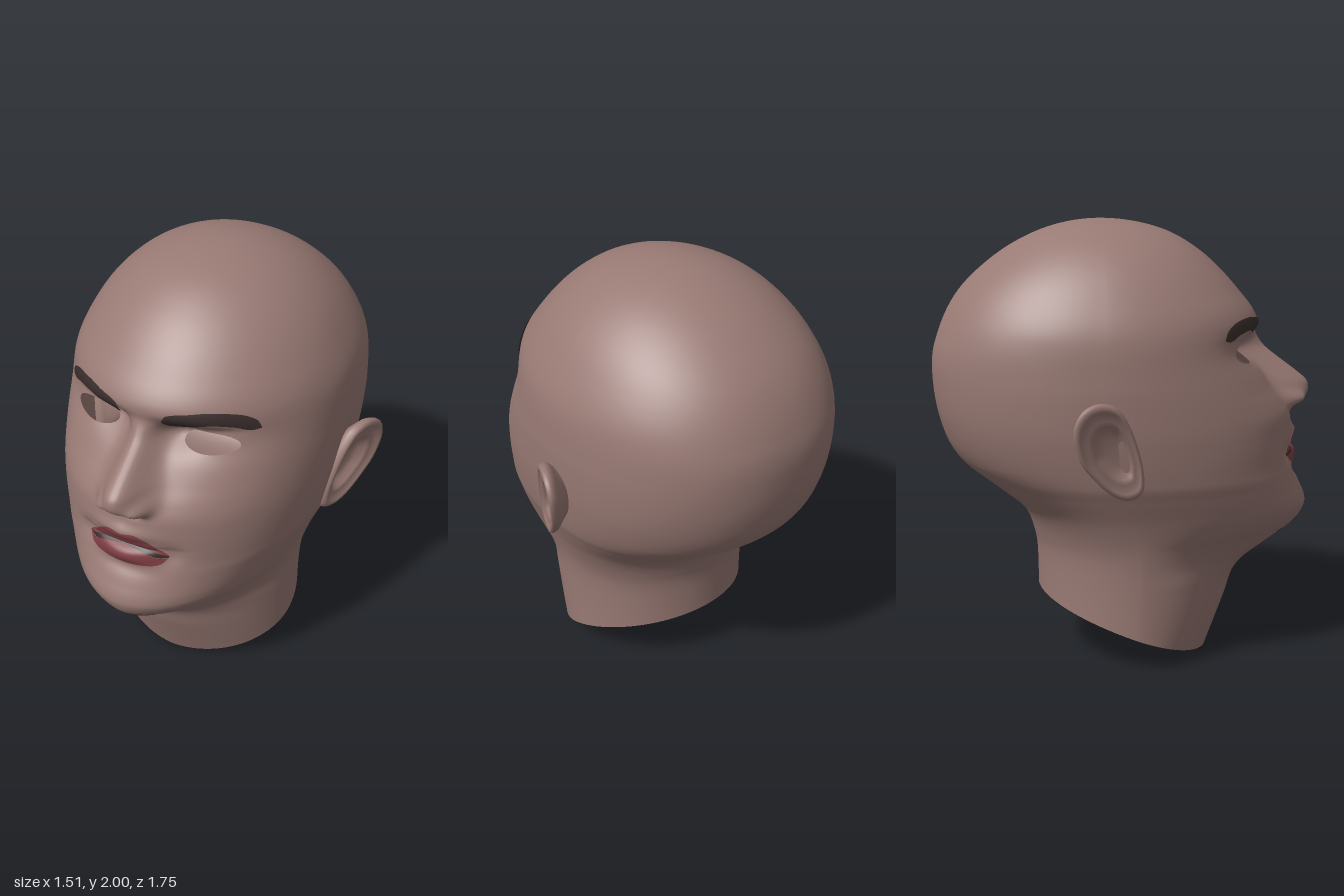
import * as THREE from 'three';

// Smooth curve through [key, value] pairs with rising keys
function interp(pts) {
  const slope = (a, b) => (b[1] - a[1]) / (b[0] - a[0]);
  const m = pts.map((p, i) => slope(pts[Math.max(0, i - 1)], pts[Math.min(pts.length - 1, i + 1)]));
  return (k) => {
    k = Math.min(Math.max(k, pts[0][0]), pts[pts.length - 1][0]);
    let i = 0;
    while (i < pts.length - 2 && k > pts[i + 1][0]) i++;
    const h = pts[i + 1][0] - pts[i][0], t = (k - pts[i][0]) / h, t2 = t * t, t3 = t2 * t;
    return (2 * t3 - 3 * t2 + 1) * pts[i][1] + (t3 - 2 * t2 + t) * h * m[i]
      + (3 * t2 - 2 * t3) * pts[i + 1][1] + (t3 - t2) * h * m[i + 1];
  };
}
// Curves by height, listed from the crown down; the root makes the crown round
const depth = (y) => Math.sqrt(Math.max(0, 2 - y));
const byHeight = (pts) => {
  const f = interp(pts.map(([y, v]) => [depth(y), v]));
  return (y) => f(depth(y));
};

// Face profile without the nose: along the middle, and smoother towards the temples and cheeks
const middleLine = byHeight([[2, -0.1], [1.95, 0.19], [1.86, 0.35], [1.765, 0.457], [1.675, 0.537],
  [1.595, 0.6], [1.54, 0.622], [1.49, 0.605], [1.45, 0.587], [1.41, 0.585], [1.35, 0.612], [1.25, 0.685],
  [1.18, 0.745], [1.12, 0.78], [1.04, 0.785], [0.97, 0.785], [0.9, 0.79], [0.84, 0.81], [0.775, 0.84],
  [0.72, 0.865], [0.675, 0.87], [0.61, 0.84], [0.545, 0.77], [0.485, 0.685], [0.42, 0.585], [0.36, 0.533],
  [0.25, 0.495], [0.15, 0.457], [0, 0.4]]);
const flankLine = byHeight([[2, -0.1], [1.95, 0.19], [1.86, 0.35], [1.765, 0.457], [1.675, 0.537], [1.595, 0.597],
  [1.5, 0.63], [1.4, 0.662], [1.3, 0.7], [1.2, 0.735], [1.1, 0.762], [1, 0.785], [0.9, 0.805], [0.8, 0.835],
  [0.72, 0.86], [0.66, 0.86], [0.6, 0.82], [0.5, 0.69], [0.4, 0.57], [0.3, 0.51], [0.15, 0.455], [0, 0.4]]);
const backLine = byHeight([[2, -0.1], [1.95, -0.37], [1.82, -0.6], [1.66, -0.76], [1.45, -0.855],
  [1.31, -0.87], [1.1, -0.84], [0.93, -0.76], [0.8, -0.6], [0.69, -0.47], [0.56, -0.415], [0.44, -0.4], [0, -0.4]]);
const width = byHeight([[2, 0], [1.92, 0.31], [1.79, 0.47], [1.63, 0.575], [1.5, 0.624], [1.31, 0.638],
  [1.18, 0.636], [1.05, 0.626], [0.87, 0.595], [0.8, 0.568], [0.68, 0.52], [0.55, 0.485], [0.39, 0.47], [0, 0.46]]);
const axis = byHeight([[2, -0.1], [1.2, -0.1], [0.9, -0.06], [0.7, 0], [0.5, 0.05], [0, 0.03]]);
// Fullness of the cross-sections; 2 is an ellipse
const frontPower = byHeight([[2, 2], [1.5, 2], [1.1, 2.12], [0.9, 2.1], [0.7, 1.95], [0.62, 1.78], [0.55, 1.58],
  [0.47, 1.54], [0.37, 1.72], [0.2, 1.8], [0, 1.8]]);
const backPower = byHeight([[2, 2], [1.8, 2.12], [1.3, 2.22], [0.9, 2.12], [0.6, 2], [0, 2]]);
const noseHeight = byHeight([[1.56, 0], [1.53, 0], [1.49, 0.015], [1.45, 0.055], [1.41, 0.09], [1.35, 0.138],
  [1.28, 0.18], [1.25, 0.187], [1.22, 0.168], [1.19, 0.133], [1.165, 0.088], [1.14, 0.028], [1.12, 0], [1.1, 0]]);
const noseWidth = byHeight([[1.5, 0.06], [1.35, 0.072], [1.25, 0.092], [1.18, 0.1], [1.1, 0.1]]);

// Features added to the face: x, y, height, x spread, y spread (mirrored)
const bumps = [
  [0.28, 1.41, -0.025, 0.15, 0.06],   // eye socket
  [0.16, 1.43, -0.06, 0.09, 0.055],   // inner eye socket
  [0.3, 1.465, -0.012, 0.1, 0.025],   // fold above the eye
  [0.28, 1.405, 0.012, 0.1, 0.04],    // eyelids
  [0.09, 1.175, 0.045, 0.035, 0.035], // nostril wing
  [0.055, 1.14, -0.025, 0.025, 0.018], // nostril
  [0.2, 0.935, -0.018, 0.05, 0.045],  // mouth corner
];
const midBumps = [
  [0, 1.035, 0.024, 0.13, 0.035],     // upper lip
  [0, 0.962, -0.022, 0.15, 0.014],    // mouth line
  [0, 0.92, 0.026, 0.12, 0.04],       // lower lip
  [0, 0.85, -0.012, 0.12, 0.03],      // dent above the chin
  [0, 1.09, -0.006, 0.025, 0.04],     // groove under the nose
];
const gauss = (x, y, [bx, by, h, sx, sy]) => h * Math.exp(-(((x - bx) / sx) ** 2) - ((y - by) / sy) ** 2);

// Surface depth of the back of the head, and of the finished face, at a point
function round(x, y, edge, power) {
  const r = Math.min(1, Math.abs(x) / Math.max(width(y), 1e-4));
  return axis(y) + (edge - axis(y)) * Math.pow(Math.max(0, 1 - Math.pow(r, power)), 1 / power);
}
const nape = (x, y) => round(x, y, backLine(y), backPower(y));
function face(x, y) {
  const ax = Math.abs(x), flank = flankLine(y);
  let z = round(x, y, flank + (middleLine(y) - flank) * Math.exp(-((x / 0.42) ** 2)), frontPower(y));
  if (y > 1.65 || y < 0.7) return z;
  z += noseHeight(y) * Math.exp(-Math.pow(ax / noseWidth(y), 2.5));
  for (const b of [...bumps, ...midBumps]) z += gauss(ax, y, b);
  return z;
}

// Smooth sheet over a grid of points
function sheet(rows, cols, point, { closed = false, flip = false, drop = () => false } = {}) {
  const pos = [], index = [], n = closed ? cols : cols + 1;
  for (let i = 0; i <= rows; i++) for (let j = 0; j < n; j++) pos.push(...point(i, j));
  const tri = (a, b, c) => {
    if (!drop([a, b, c].map((k) => [pos[k * 3], pos[k * 3 + 1], pos[k * 3 + 2]]))) index.push(...(flip ? [a, c, b] : [a, b, c]));
  };
  for (let i = 0; i < rows; i++) for (let j = 0; j < cols; j++) {
    const a = i * n + j, b = i * n + (j + 1) % n, c = a + n, d = b + n;
    tri(a, c, b);
    tri(b, c, d);
  }
  const g = new THREE.BufferGeometry();
  g.setAttribute('position', new THREE.Float32BufferAttribute(pos, 3));
  g.setIndex(index);
  g.computeVertexNormals();
  return g;
}

// Relative distance from the middle of the eye opening; 1 is its rim
const eyeX = 0.272, eyeY = 1.4;
const eye = (x, y) => Math.hypot((Math.abs(x) - eyeX) / 0.115, (y - eyeY) / (y > eyeY ? 0.05 : 0.035));

function headGeometry() {
  const crown = 35, faceRows = 130, neck = 40, frontCols = 140, backCols = 50;
  const point = (i, j) => {
    const isFront = j <= frontCols;
    const a = isFront ? (j / frontCols - 0.5) * Math.PI : (0.5 + (j - frontCols) / backCols) * Math.PI;
    const surface = isFront ? face : nape;
    const at = (y) => [width(y) * Math.sin(a), y];
    let x, y;
    if (i <= crown) [x, y] = at(2 - (0.6 * i / crown) ** 2);
    else if (i <= crown + faceRows) [x, y] = at(1.64 - 1.04 * (i - crown) / faceRows);
    else {
      // Neck rows run down to a slanted cut
      const t = (i - crown - faceRows) / neck;
      y = 0.6 - 0.45 * t;
      for (let k = 0; k < 12; k++) {
        [x] = at(y);
        const z = surface(x, y), cut = Math.max(0, 0.15 - 0.375 * z + 0.015 * (1 - (z / 0.4) ** 2));
        y = (y + 0.6 + (cut - 0.6) * t) / 2;
      }
      [x, y] = at(y);
    }
    // Pull nearby points onto the rim of the eye opening
    const e = eye(x, y);
    if (isFront && e > 0.85 && e < 1.12) {
      x = Math.sign(x) * (eyeX + (Math.abs(x) - eyeX) / e);
      y = eyeY + (y - eyeY) / e;
    }
    return [x, y, surface(x, y)];
  };
  const drop = (v) => {
    const e = v.map(([x, y, z]) => (z > 0 ? eye(x, y) : 9));
    return Math.min(...e) < 0.99 || Math.max(...e) < 1.001;
  };
  return sheet(crown + faceRows + neck, frontCols + backCols, point, { closed: true, drop });
}

// Thin coloured layer lying on the face between two edge curves
function layer(x0, x1, topPts, bottomPts, lift = 0.006) {
  const top = interp(topPts), bottom = interp(bottomPts), d = 0.004;
  return sheet(12, 48, (i, j) => {
    const x = x0 + (x1 - x0) * j / 48, t = top(Math.abs(x));
    const y = t + (bottom(Math.abs(x)) - t) * i / 12;
    const n = new THREE.Vector3((face(x - d, y) - face(x + d, y)) / (2 * d), (face(x, y - d) - face(x, y + d)) / (2 * d), 1)
      .normalize().multiplyScalar(lift);
    return [x + n.x, y + n.y, face(x, y) + n.z];
  });
}

function earGeometry(side) {
  const outline = new THREE.CatmullRomCurve3([[-0.245, 1.15], [-0.21, 1.225], [-0.145, 1.255], [-0.07, 1.235],
    [-0.02, 1.17], [0.025, 1.06], [0.055, 0.92], [0.045, 0.85], [-0.01, 0.828], [-0.08, 0.855], [-0.165, 0.94],
    [-0.22, 1.02]].map(([z, y]) => new THREE.Vector3(0, y, z)), true);
  // Hollow, inner fold, rim, then the back running into the head
  const rings = [[0, -0.035], [0.25, -0.036], [0.45, -0.03], [0.56, -0.008], [0.66, 0.002], [0.76, -0.004],
    [0.85, 0.01], [0.93, 0.012], [0.985, 0.002], [1, -0.014], [0.97, -0.032], [0.88, -0.048], [0.75, -0.07], [0.5, -0.13]];
  return sheet(rings.length - 1, 56, (i, j) => {
    const p = outline.getPoint(j / 56), [r, dx] = rings[i];
    const z = -0.07 + (p.z + 0.07) * r, y = 1.04 + (p.y - 1.04) * r;
    return [side * (0.638 - 0.42 * z + 0.1 * (y - 1.05) + dx), y, z];
  }, { closed: true, flip: side < 0 });
}

export function createModel() {
  const model = new THREE.Group();
  model.name = 'head';
  const material = (name, color) => new THREE.MeshStandardMaterial({ name, color, side: THREE.DoubleSide });
  const skin = material('skin', 0x997a74), lip = material('lip', 0x803e44), dark = material('darkHair', 0x3a2f2d);
  const add = (name, geometry, mat) => {
    const mesh = new THREE.Mesh(geometry, mat);
    mesh.name = name;
    model.add(mesh);
  };

  add('headAndNeck', headGeometry(), skin);
  for (const [side, label] of [[1, 'left'], [-1, 'right']]) {
    add(label + 'Ear', earGeometry(side), skin);
    const ends = side > 0 ? [0.095, 0.445] : [-0.445, -0.095];
    add(label + 'Eyebrow', layer(...ends,
      [[0.095, 1.52], [0.115, 1.546], [0.2, 1.56], [0.28, 1.565], [0.38, 1.548], [0.43, 1.515], [0.445, 1.482]],
      [[0.095, 1.505], [0.125, 1.488], [0.2, 1.5], [0.28, 1.512], [0.36, 1.498], [0.41, 1.474], [0.445, 1.476]], 0.008), dark);
  }

  // Mouth
  const gapTop = [[0, 0.972], [0.1, 0.962], [0.19, 0.933]], gapBottom = [[0, 0.956], [0.1, 0.945], [0.15, 0.928], [0.19, 0.924]];
  add('upperLip', layer(-0.19, 0.19, [[0, 1.035], [0.06, 1.042], [0.11, 1.015], [0.15, 0.976], [0.19, 0.937]], gapTop), lip);
  add('mouthGap', layer(-0.19, 0.19, gapTop, gapBottom, 0.004), dark);
  add('lowerLip', layer(-0.185, 0.185, gapBottom, [[0, 0.88], [0.1, 0.884], [0.165, 0.897], [0.185, 0.921]]), lip);

  // Small tuft under the chin
  add('chinTuft', layer(-0.13, 0.115, [[0, 0.586], [0.06, 0.578], [0.13, 0.565]], [[0, 0.555], [0.06, 0.55], [0.13, 0.552]], 0.004), dark);
  return model;
}
